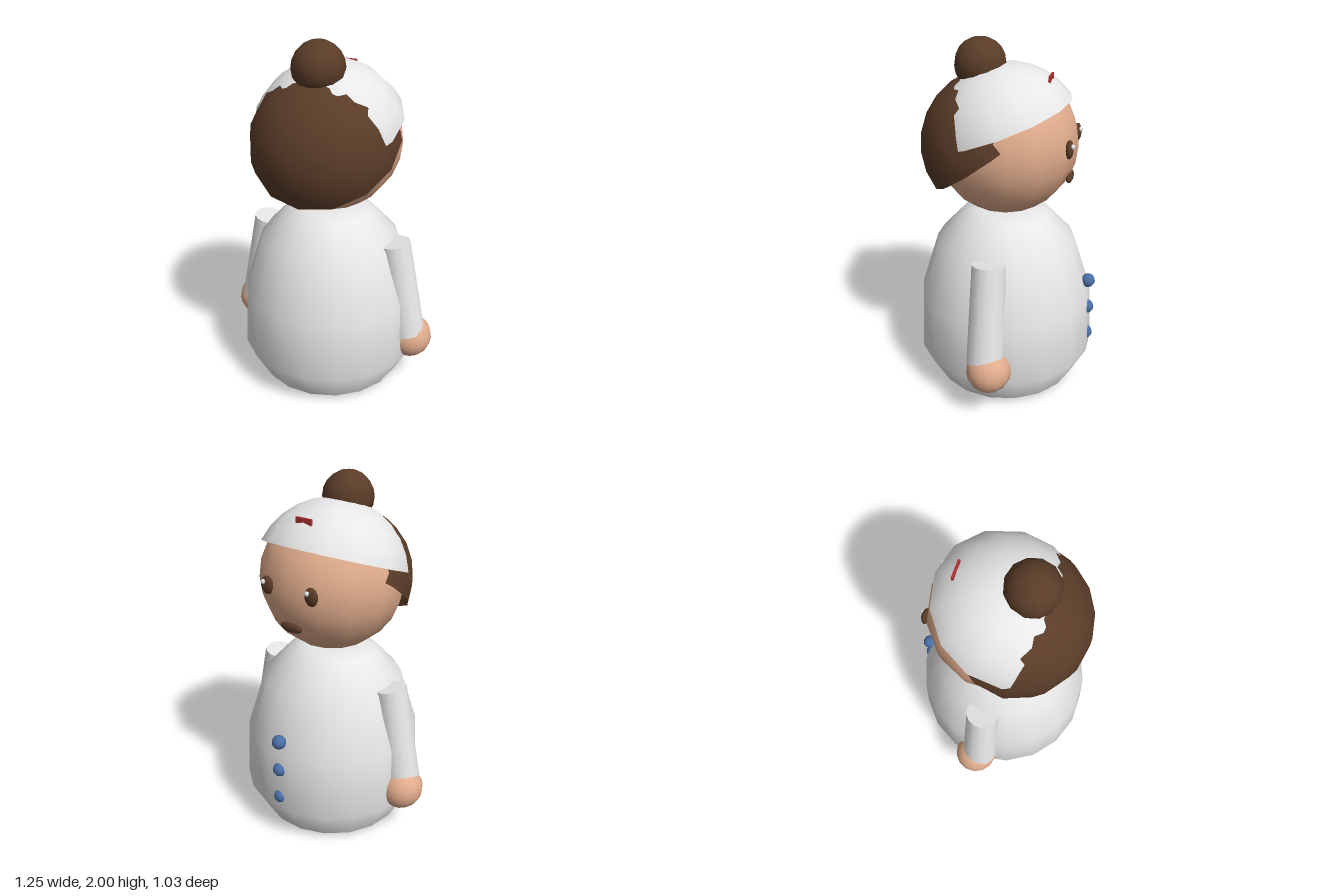
import * as THREE from 'three';

const mat = (name, color, side = THREE.FrontSide) => {
  const m = new THREE.MeshStandardMaterial({ color, side });
  m.name = name;
  return m;
};

export function createModel() {
  const white = mat('white', 0xeeeeee, THREE.DoubleSide);
  const skin = mat('skin', 0xe0ac8c);
  const brown = mat('brown', 0x5a3c28, THREE.DoubleSide);
  const blue = mat('blue', 0x4a6fa5);
  const red = mat('red', 0xb03030);
  const grey = mat('dark grey', 0x4a4a4a);

  const group = new THREE.Group();
  group.name = 'doll';
  const add = (name, geometry, material, x = 0, y = 0, z = 0) => {
    const mesh = new THREE.Mesh(geometry, material);
    mesh.name = name;
    mesh.position.set(x, y, z);
    group.add(mesh);
    return mesh;
  };
  const ball = (r, seg = 14, rows = 10) =>
    new THREE.SphereGeometry(r, seg, rows).rotateY(Math.PI / 2);
  // dome opening at angle theta from its pole, tipped towards the back
  const dome = (r, theta, tilt, rows) =>
    new THREE.SphereGeometry(r, 14, rows, 0, Math.PI * 2, 0, theta).rotateY(Math.PI / 2).rotateX(tilt);

  // coat
  const profile = [[0, 0.03], [0.415, 0.03], [0.415, 0.03], [0.512, 0.212], [0.494, 0.555],
    [0.392, 0.875], [0.24, 1.04], [0.155, 1.07], [0, 1.07]].map(([r, y]) => new THREE.Vector2(r, y));
  add('coat', new THREE.LatheGeometry(profile, 18, Math.PI / 18), white, 0, 0, 0.01);

  // head, hair, bun and cap
  add('head', ball(0.395, 14, 12), skin, 0, 1.455, 0.01);
  add('hair', dome(0.412, Math.PI / 2, 0.647, 6), brown, 0, 1.43, 0.06);
  add('bun', ball(0.14, 12, 10), brown, 0, 1.86, 0.145);
  add('cap', dome(0.425, 1.3, 0.36, 6), white, 0, 1.45, 0);
  add('capBadge', new THREE.BoxGeometry(0.1, 0.034, 0.012), red, 0, 1.807, -0.228);

  // mouth and buttons
  add('mouth', ball(1, 12, 8), brown, 0, 1.275, -0.345).scale.set(0.072, 0.028, 0.02);
  for (const y of [0.285, 0.463, 0.64]) add('button', ball(0.04, 10, 8), blue, 0, y, -0.475);

  for (const s of [-1, 1]) {
    // eyes with a glint
    add('eye', ball(1, 12, 8), brown, s * 0.143, 1.48, -0.357).scale.set(0.04, 0.05, 0.022);
    add('eyeGlint', ball(0.014, 8, 6), white, s * 0.143 + 0.012, 1.5, -0.374);

    // sleeve between shoulder and wrist, then the hand
    const top = new THREE.Vector3(s * 0.39, 0.897, 0.01);
    const wrist = new THREE.Vector3(s * 0.487, 0.345, 0.01);
    const axis = top.clone().sub(wrist);
    const sleeve = add('sleeve', new THREE.CylinderGeometry(0.092, 0.106, axis.length(), 14), white);
    sleeve.position.copy(top).add(wrist).multiplyScalar(0.5);
    sleeve.quaternion.setFromUnitVectors(new THREE.Vector3(0, 1, 0), axis.normalize());
    add('hand', ball(0.125, 14, 10), skin, s * 0.503, 0.3, -0.012);

    // feet
    add('foot', ball(1, 14, 10), grey, s * 0.2, 0.06, -0.09).scale.set(0.13, 0.06, 0.19);
  }
  return group;
}
